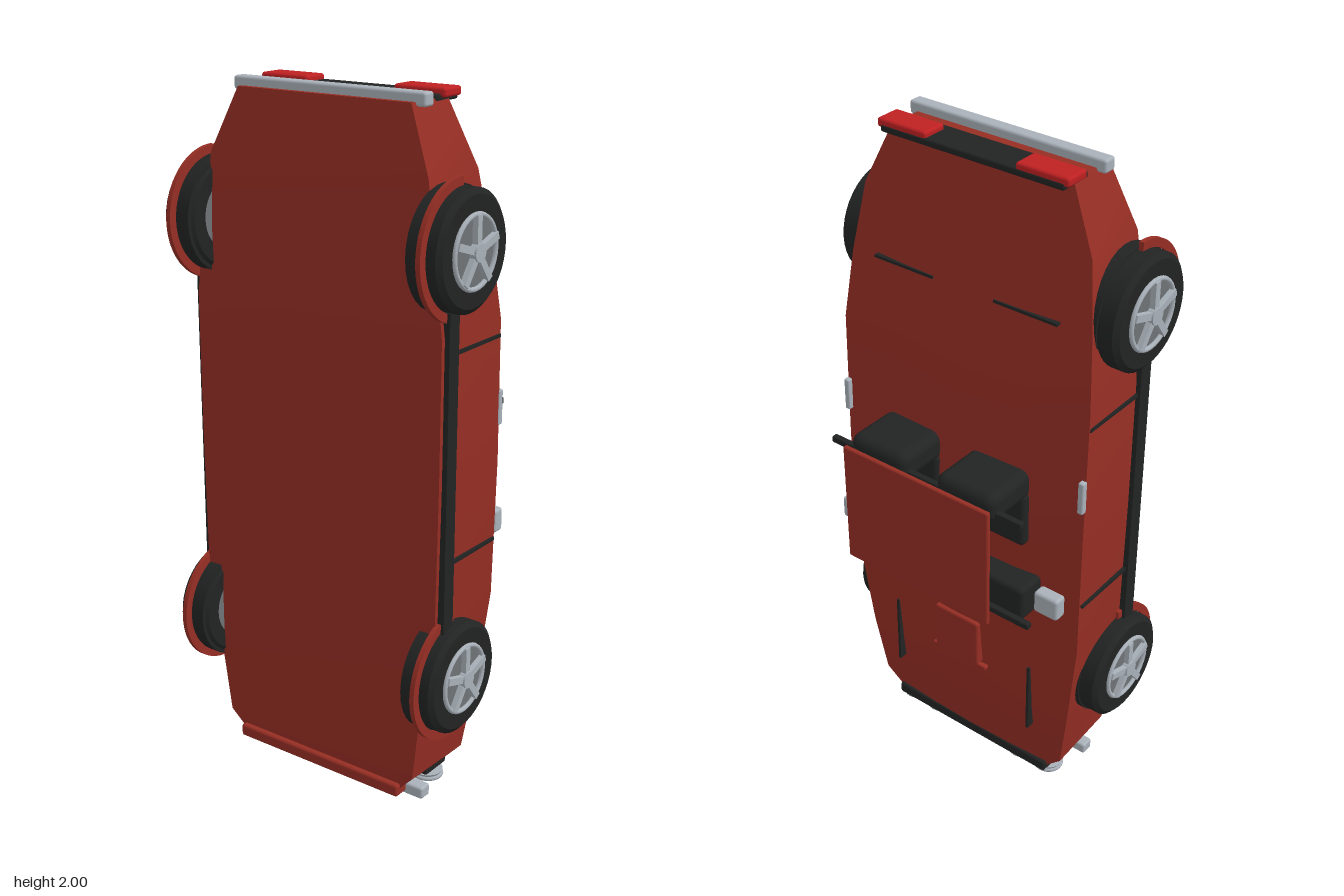
import * as THREE from 'three';
import { RoundedBoxGeometry } from 'three/addons/geometries/RoundedBoxGeometry.js';
import { toCreasedNormals } from 'three/addons/utils/BufferGeometryUtils.js';

const material = (name, color) => {
  const m = new THREE.MeshStandardMaterial({ color });
  m.name = name;
  return m;
};

// The car stands on its nose: +y is the tail, +z the underside, -z the roof.
export function createModel() {
  const paint = material('red paint', 0x962e24);
  const black = material('black trim', 0x222323);
  const chrome = material('chrome', 0xa9b1b9);
  const rim = material('dark rim', 0x6f7377);
  const lamp = material('tail lamp red', 0xbe2022);

  const car = new THREE.Group();
  car.name = 'car';

  const add = (name, geo, mat, parent = car) => {
    const mesh = new THREE.Mesh(geo, mat);
    mesh.name = name;
    parent.add(mesh);
    return mesh;
  };

  // Box given by its limits, with optional rounded edges
  const box = (name, mat, x0, x1, y0, y1, z0, z1, r = 0) => {
    const s = [x1 - x0, y1 - y0, z1 - z0];
    const geo = r ? new RoundedBoxGeometry(...s, 3, r) : new THREE.BoxGeometry(...s);
    const m = add(name, geo, mat);
    m.position.set((x0 + x1) / 2, (y0 + y1) / 2, (z0 + z1) / 2);
    return m;
  };
  const pair = (name, mat, x0, x1, ...rest) => {
    box(name + 'Left', mat, x0, x1, ...rest);
    box(name + 'Right', mat, -x1, -x0, ...rest);
  };

  // Body shell: y, floor half width, floor z, shoulder half width, shoulder z, crown z
  const sections = [
    [0.03, 0.27, 0.185, 0.28, -0.03, -0.04],
    [0.10, 0.335, 0.195, 0.345, -0.042, -0.055],
    [0.30, 0.36, 0.2, 0.375, -0.06, -0.08],
    [0.60, 0.405, 0.2, 0.41, -0.075, -0.105],
    [1.00, 0.41, 0.2, 0.415, -0.08, -0.115],
    [1.40, 0.41, 0.2, 0.415, -0.073, -0.098],
    [1.60, 0.385, 0.198, 0.395, -0.05, -0.07],
    [1.80, 0.355, 0.19, 0.365, -0.02, -0.04],
    [1.975, 0.28, 0.16, 0.285, 0.005, 0.0],
  ];
  const pos = [], idx = [], n = 7;
  for (const [y, wf, zf, ws, zs, zc] of sections) {
    const zm = zs + (zc - zs) * 0.75;
    pos.push(wf, y, zf, ws, y, zs, ws / 2, y, zm, 0, y, zc,
      -ws / 2, y, zm, -ws, y, zs, -wf, y, zf);
  }
  const last = (sections.length - 1) * n;
  for (let r = 0; r < last; r += n) {
    for (let i = 0; i < n; i++) {
      const a = r + i, b = r + (i + 1) % n;
      idx.push(a, b, b + n, a, b + n, a + n);
    }
  }
  for (let i = 1; i < n - 1; i++) {
    idx.push(0, i + 1, i, last, last + i, last + i + 1);
  }
  const shell = new THREE.BufferGeometry();
  shell.setAttribute('position', new THREE.Float32BufferAttribute(pos, 3));
  shell.setIndex(idx);
  add('bodyShell', toCreasedNormals(shell, 0.3), paint);

  // Sides: sills, door gaps and handles
  pair('sill', black, 0.395, 0.425, 0.57, 1.47, 0.143, 0.187);
  for (const y of [0.77, 1.355]) {
    pair('doorGap', black, 0.395, 0.418, y - 0.005, y + 0.005, -0.07, 0.145);
  }
  pair('doorHandle', chrome, 0.4, 0.418, 1.1, 1.2, -0.094, -0.074, 0.005);

  // Bonnet and rear deck
  box('bonnetScoop', paint, -0.08, 0.08, 0.39, 0.55, -0.112, -0.06, 0.008);
  box('scoopLip', paint, -0.1, 0.1, 0.37, 0.385, -0.1, -0.06, 0.004);
  pair('bonnetSlot', black, 0.246, 0.254, 0.22, 0.46, -0.088, -0.05);
  pair('deckSlot', black, 0.1, 0.3, 1.616, 1.624, -0.068, -0.03);

  // Nose
  box('grillePanel', black, -0.29, 0.29, 0.022, 0.06, -0.048, 0.055, 0.008);
  for (let i = -2; i <= 2; i++) {
    box('grilleBar', chrome, i * 0.05 - 0.004, i * 0.05 + 0.004, 0.014, 0.03, -0.03, 0.045);
  }
  for (const x of [-0.265, -0.165, 0.165, 0.265]) {
    const light = add('headlight', new THREE.CylinderGeometry(0.045, 0.036, 0.018, 24), chrome);
    light.position.set(x, 0.013, 0.012);
    const ring = add('headlightRing', new THREE.TorusGeometry(0.04, 0.007, 8, 24), chrome);
    ring.rotation.x = Math.PI / 2;
    ring.position.set(x, 0.008, 0.012);
  }
  box('frontBumper', chrome, -0.335, 0.335, 0.005, 0.042, 0.103, 0.145, 0.008);
  box('chinSpoiler', paint, -0.29, 0.29, 0.027, 0.065, 0.155, 0.207, 0.008);

  // Tail
  box('tailPanel', black, -0.287, 0.287, 1.965, 1.985, -0.04, 0.062, 0.006);
  pair('tailLamp', lamp, 0.14, 0.3, 1.975, 2, -0.038, 0.04, 0.008);
  box('rearBumper', chrome, -0.31, 0.31, 1.963, 2, 0.102, 0.143, 0.008);

  // Cabin
  pair('seatBack', black, 0.052, 0.25, 1.08, 1.17, -0.262, -0.08, 0.03);
  pair('seatCushion', black, 0.052, 0.25, 0.93, 1.1, -0.126, -0.08, 0.015);
  box('dashboard', black, -0.29, 0.29, 0.72, 0.83, -0.178, -0.08, 0.015);
  box('windscreenRail', black, -0.33, 0.33, 0.73, 0.75, -0.205, -0.186, 0.004);
  box('rollBar', black, -0.33, 0.33, 1.1, 1.12, -0.245, -0.226, 0.004);
  box('roofPanel', paint, -0.252, 0.252, 0.76, 1.14, -0.285, -0.269, 0.006);
  pair('mirror', chrome, 0.312, 0.392, 0.76, 0.83, -0.157, -0.115, 0.01);

  // Wheels, built with the axle along local z and the outside at +z
  const tyreProfile = [[0.1, -0.05], [0.145, -0.052], [0.16, -0.04], [0.16, 0.04], [0.145, 0.052], [0.1, 0.05]]
    .map(([x, y]) => new THREE.Vector2(x, y));
  const tyreGeo = toCreasedNormals(new THREE.LatheGeometry(tyreProfile, 40), 0.5).rotateX(Math.PI / 2);
  const disc = (r, h) => new THREE.CylinderGeometry(r, r, h, 32).rotateX(Math.PI / 2);
  const flare = new THREE.Shape();
  flare.absarc(0, 0, 0.187, 0, Math.PI, false);
  flare.absarc(0, 0, 0.163, Math.PI, 0, true);
  const flareGeo = new THREE.ExtrudeGeometry(flare, { depth: 0.014, bevelEnabled: false, curveSegments: 24 });

  for (const side of [1, -1]) {
    for (const y of [0.43, 1.62]) {
      const wheel = new THREE.Group();
      wheel.name = (y < 1 ? 'front' : 'rear') + 'Wheel' + (side > 0 ? 'Left' : 'Right');
      wheel.position.set(side * 0.402, y, 0.125);
      wheel.rotation.y = side * Math.PI / 2;
      car.add(wheel);
      add('tyre', tyreGeo, black, wheel);
      add('rimDisc', disc(0.102, 0.098), rim, wheel);
      add('rimRing', new THREE.TorusGeometry(0.095, 0.007, 8, 32), chrome, wheel).position.z = 0.053;
      add('hub', disc(0.024, 0.03), chrome, wheel).position.z = 0.055;
      for (let i = 0; i < 5; i++) {
        const spoke = new THREE.BoxGeometry(0.02, 0.09, 0.018).translate(0, 0.05, 0.056);
        add('spoke', spoke, chrome, wheel).rotation.z = i * Math.PI * 0.4;
      }
      // Dark wheel well and painted flare arching over the wheel
      add('wheelWell', disc(0.165, 0.04), black, wheel).position.z = -0.025;
      const arch = add('wheelFlare', flareGeo, paint, wheel);
      arch.rotation.z = side * Math.PI / 2;
      arch.position.z = 0;
      // Turn the arch so that it opens towards the underside
      arch.rotation.z = side > 0 ? -Math.PI / 2 : Math.PI / 2;
      arch.rotation.z *= -1;
    }
  }
  return car;
}
